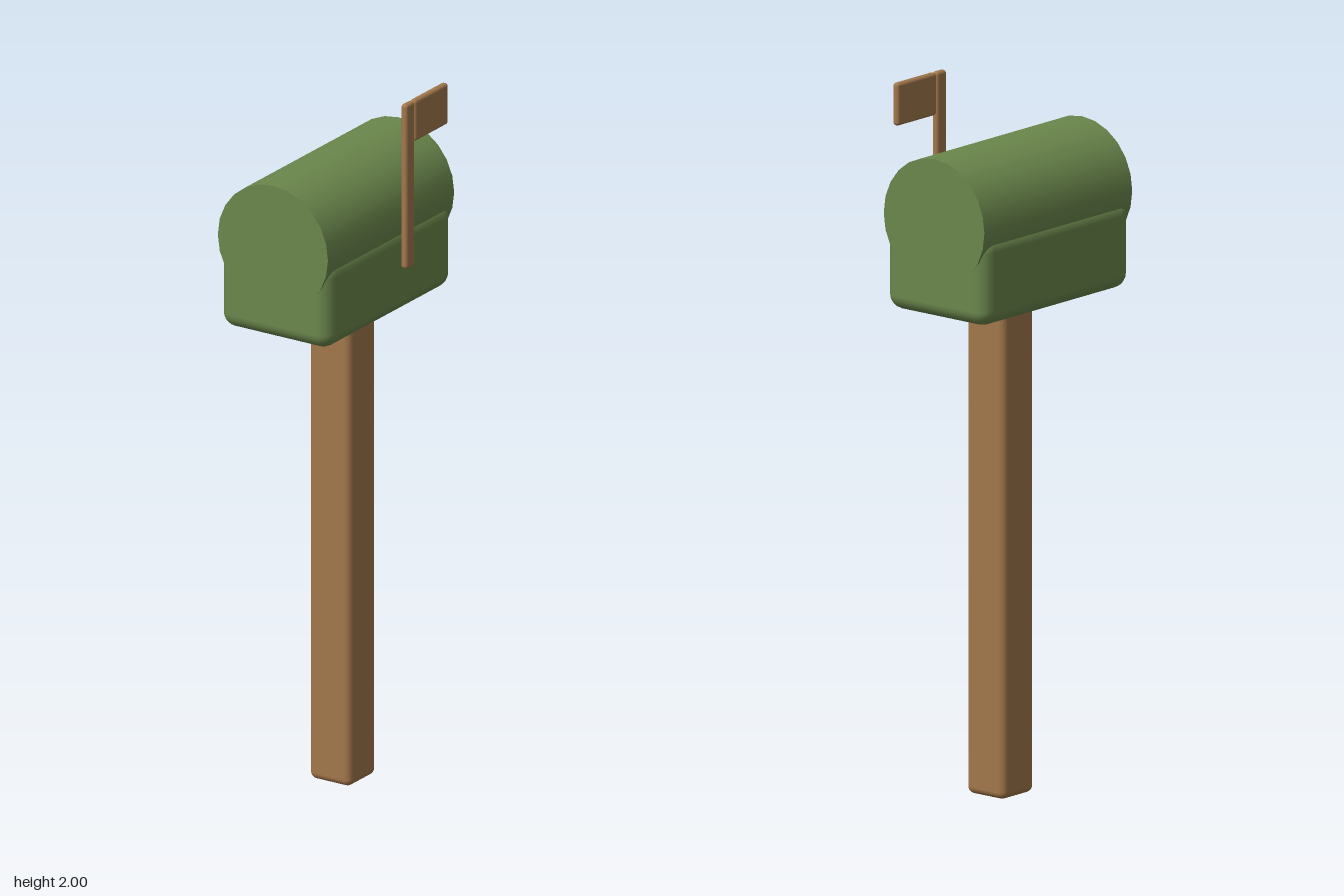
import * as THREE from 'three';
import { RoundedBoxGeometry } from 'three/addons/geometries/RoundedBoxGeometry.js';

export function createModel() {
  const model = new THREE.Group();
  model.name = 'mailbox';

  const green = new THREE.MeshStandardMaterial({ color: 0x6b874c });
  green.name = 'green paint';
  const wood = new THREE.MeshStandardMaterial({ color: 0xa2774b });
  wood.name = 'brown wood';

  const add = (name, geometry, material, x, y, z) => {
    const mesh = new THREE.Mesh(geometry, material);
    mesh.name = name;
    mesh.position.set(x, y, z);
    model.add(mesh);
  };

  // Rounded block given by its centre x, y and z ranges
  const block = (name, material, x, width, [y0, y1], [z0, z1], radius) =>
    add(name, new RoundedBoxGeometry(width, y1 - y0, z1 - z0, 3, radius),
      material, x, (y0 + y1) / 2, (z0 + z1) / 2);

  // Post and the lower half of the box
  block('post', wood, -0.015, 0.135, [0, 1.383], [-0.1, 0.035], 0.02);
  block('boxBody', green, -0.015, 0.36, [1.383, 1.632], [-0.31, 0.31], 0.042);

  // Barrel roof lying along z, flush with the ends of the box
  const barrel = new THREE.CylinderGeometry(0.18, 0.18, 0.62, 24).rotateX(Math.PI / 2);
  add('barrelRoof', barrel, green, -0.015, 1.653, 0);

  // Signal flag beside the box
  block('flagPole', wood, 0.182, 0.021, [1.52, 2], [-0.078, -0.036], 0.009);
  block('flag', wood, 0.182, 0.021, [1.88, 2], [-0.243, -0.078], 0.009);

  return model;
}
